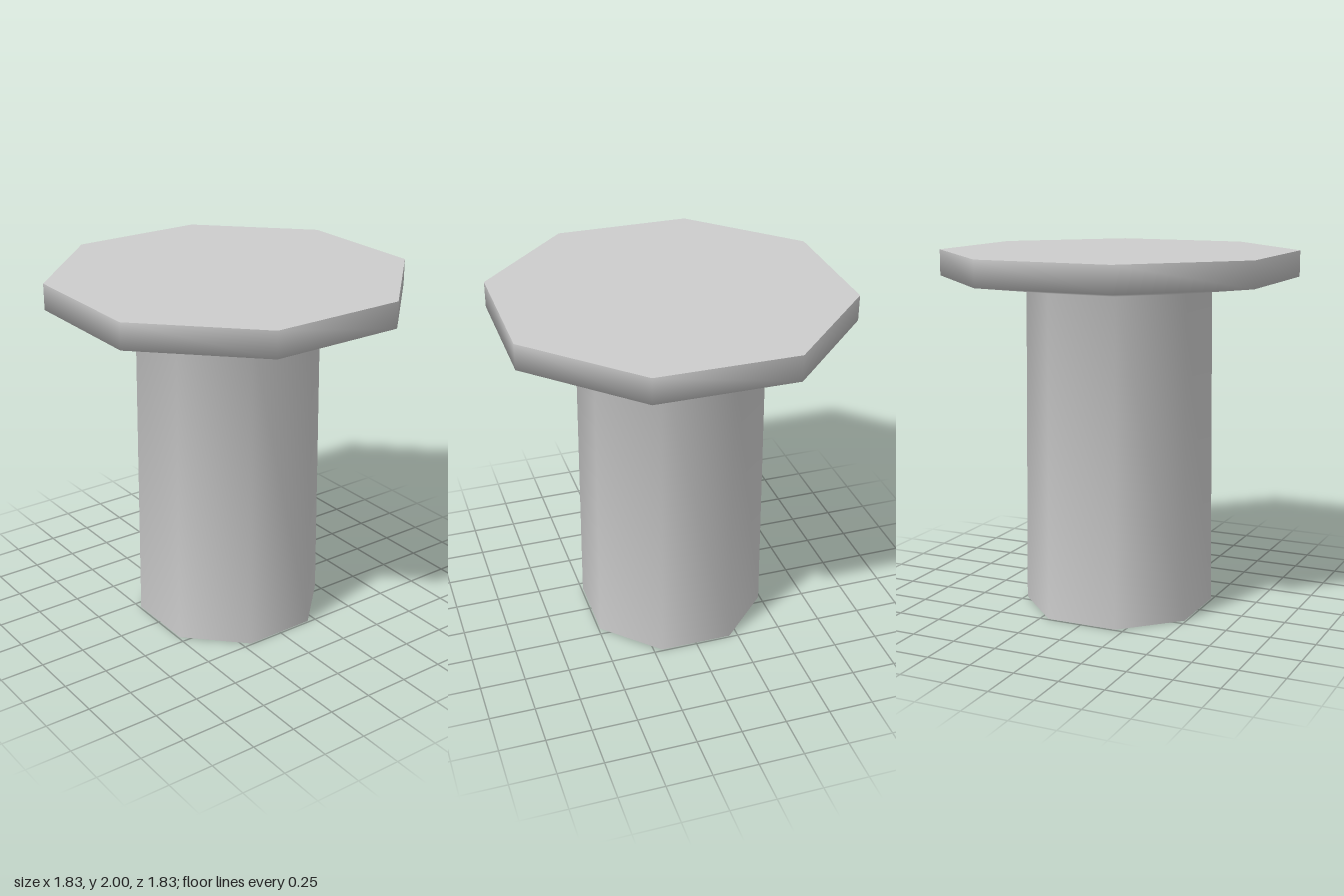
import * as THREE from 'three';

const SIDES = 8;
const TURN = Math.PI / SIDES;
// Circumradius of an octagon from its flat-to-centre distance
const radius = (flat) => flat / Math.cos(TURN);

export function createModel() {
  const group = new THREE.Group();
  group.name = 'rivet';
  const grey = new THREE.MeshStandardMaterial({ color: 0xcccccc });
  grey.name = 'light grey';

  const add = (name, geometry) => {
    const mesh = new THREE.Mesh(geometry, grey);
    mesh.name = name;
    group.add(mesh);
    return mesh;
  };

  // Tapered shaft, sloping underside and rim as one smooth-shaded octagonal skin
  const profile = [[0.49, 0], [0.473, 1.797], [0.914, 1.857], [0.914, 2]]
    .map(([flat, y]) => new THREE.Vector2(radius(flat), y));
  add('shaftAndHead', new THREE.LatheGeometry(profile, SIDES, TURN));

  // Flat octagonal caps
  const cap = (name, flat, y, facing) => {
    const geometry = new THREE.CircleGeometry(radius(flat), SIDES, TURN);
    geometry.rotateX(-facing * Math.PI / 2);
    add(name, geometry).position.y = y;
  };
  cap('headTop', 0.914, 2, 1);
  cap('shaftBottom', 0.49, 0, -1);

  return group;
}
